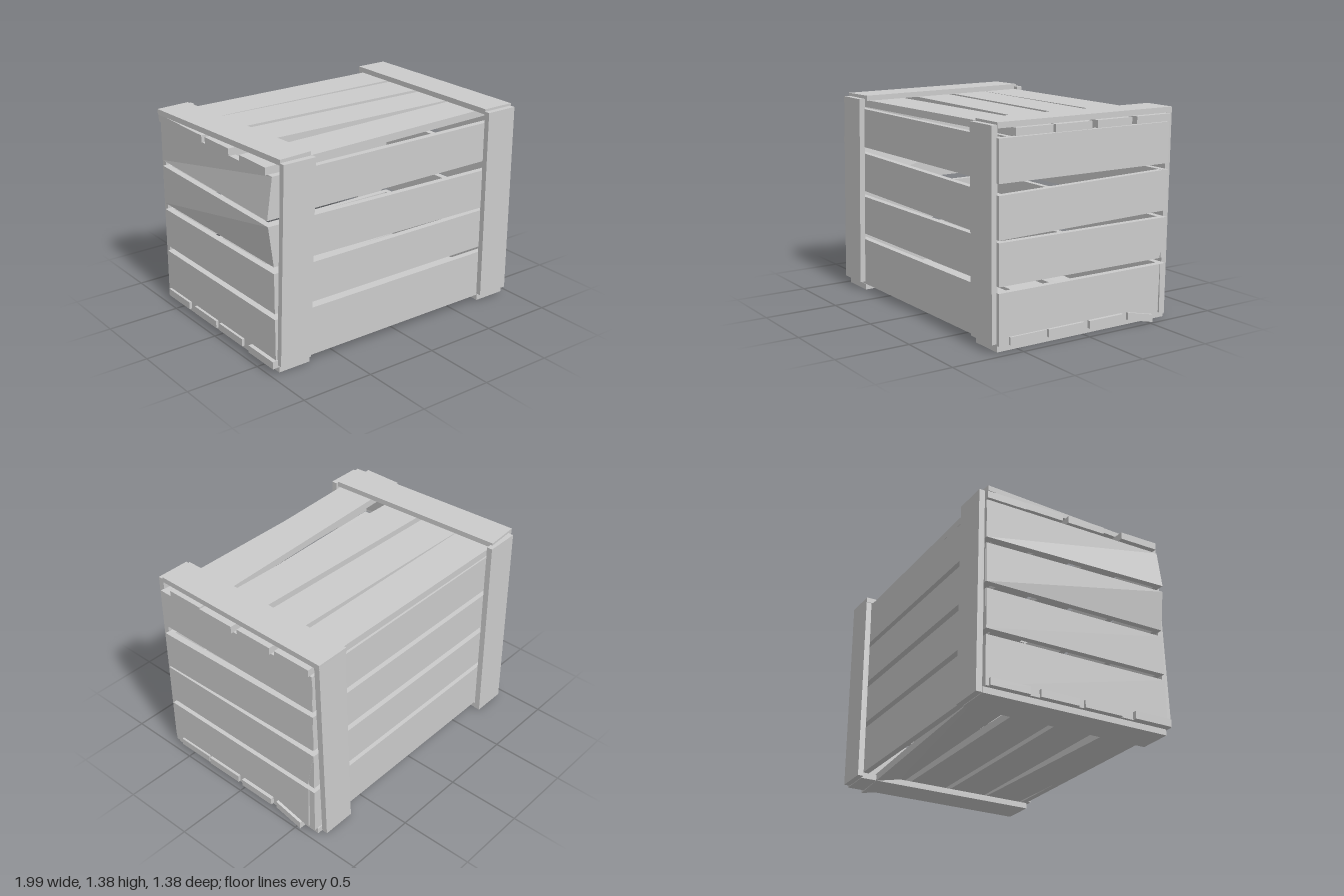
import * as THREE from 'three';

const AXES = { x: ['z', 'y', 'x'], y: ['x', 'z', 'y'], z: ['x', 'y', 'z'] }; // u, v, depth
const material = new THREE.MeshStandardMaterial({ color: 0xcccccc, flatShading: true });

// A board facing along one axis. Corners are [u, v] in the order low-low, high-low, low-high, high-high.
// lift shifts each corner in depth (warping); outer replaces the corners on the high-depth side (slanted ends).
function board(name, axis, corners, d0, d1, { lift = [0, 0, 0, 0], outer = corners } = {}) {
  const geometry = new THREE.BoxGeometry(1, 1, 1);
  const pos = geometry.attributes.position;
  const [U, V, D] = AXES[axis];
  const p = new THREE.Vector3();
  for (let i = 0; i < pos.count; i++) {
    p.fromBufferAttribute(pos, i);
    const high = p[D] > 0;
    const k = (p[U] > 0 ? 1 : 0) + (p[V] > 0 ? 2 : 0);
    const [u, v] = (high ? outer : corners)[k];
    p[U] = u;
    p[V] = v;
    p[D] = (high ? d1 : d0) + lift[k];
    pos.setXYZ(i, p.x, p.y, p.z);
  }
  geometry.computeVertexNormals();
  const mesh = new THREE.Mesh(geometry, material);
  mesh.name = name;
  return mesh;
}

// Long direction along u: v ranges given at each end
const along = (u0, u1, a, b = a) => [[u0, a[0]], [u1, b[0]], [u0, a[1]], [u1, b[1]]];
// Long direction along v: u ranges given at each end
const across = (v0, v1, a, b = a) => [[a[0], v0], [a[1], v0], [b[0], v1], [b[1], v1]];

export function createModel() {
  const crate = new THREE.Group();
  crate.name = 'crate';
  const add = (...args) => crate.add(board(...args));

  // Wall slats: four rows on each of the four sides
  const rows = [[0.05, 0.375], [0.415, 0.68], [0.725, 0.99], [1.03, 1.295]];
  const low = [0.695, 0.96];
  rows.forEach((row, i) => {
    const tilted = i === 2;
    add('frontSlat', 'z', along(-0.96, 0.965, row, tilted ? low : row), 0.61, 0.652);
    add('backSlat', 'z', along(-0.955, 0.965, row), -0.642, -0.6);

    // Left-hand wall: the upper two slats are sprung outward at the front
    const lift = [[0, 0, 0, 0], [0, 0, 0, 0], [0, 0, 0, -0.035], [0, -0.04, 0, 0]][i];
    add('rightSideSlat', 'x', along(-0.64, 0.652, row), -0.962, -0.92, { lift });

    // Opposite wall: the lower two slats have chipped back ends
    const corners = along(-0.64, 0.655, row, tilted ? low : row);
    const outer = corners.map((c) => [...c]);
    if (i === 0) { outer[0][0] = -0.585; outer[2][0] = -0.595; }
    if (i === 1) outer[0][0] = -0.59;
    add('leftSideSlat', 'x', corners, 0.922, 0.966, { outer });
  });

  // Lid slats: x ends, z range at each end
  [
    [-0.975, 0.985, [-0.64, -0.365], [-0.63, -0.36]],
    [-0.98, 0.985, [-0.365, -0.095], [-0.32, -0.05]],
    [-0.98, 0.99, [-0.055, 0.215], [-0.005, 0.267]],
    [-0.99, 0.98, [0.35, 0.625], [0.277, 0.545]],
  ].forEach(([x0, x1, a, b]) => add('lidSlat', 'y', along(x0, x1, a, b), 1.302, 1.35));

  // Floor slats; the rear one sags at one end
  [
    [-0.99, 0.98, [0.39, 0.66], [0.315, 0.582]],
    [-0.98, 0.985, [0.03, 0.3], [0.03, 0.302]],
    [-0.98, 0.99, [-0.28, -0.01], [-0.278, -0.01]],
    [-0.98, 0.985, [-0.62, -0.35], [-0.53, -0.32]],
  ].forEach(([x0, x1, a, b], i) => add('floorSlat', 'y', along(x0, x1, a, b), 0.05, 0.1,
    { lift: i === 3 ? [0, -0.048, 0, 0] : undefined }));

  // Upright posts
  add('frontPost', 'z', across(0.065, 1.365, [-0.95, -0.725], [-0.905, -0.675]), 0.65, 0.69);
  add('frontPost', 'z', across(0.06, 1.37, [0.712, 0.942]), 0.65, 0.69);
  const lean = { lift: [-0.008, -0.008, 0.005, 0.005] };
  add('backPost', 'z', across(0.012, 1.37, [-0.94, -0.705]), -0.685, -0.645, lean);
  add('backPost', 'z', across(0.012, 1.37, [0.68, 0.91], [0.72, 0.945]), -0.685, -0.645, lean);

  // Battens over the lid and under the floor
  add('lidBatten', 'y', [[-0.98, -0.64], [-0.745, -0.655], [-0.905, 0.652], [-0.672, 0.635]], 1.35, 1.386);
  add('lidBatten', 'y', across(-0.68, 0.652, [0.715, 0.945]), 1.35, 1.386);
  add('floorBatten', 'y', across(-0.65, 0.655, [-0.94, -0.71]), 0.01, 0.05);
  add('floorBatten', 'y', across(-0.65, 0.655, [0.715, 0.945]), 0.01, 0.05);

  return crate;
}
